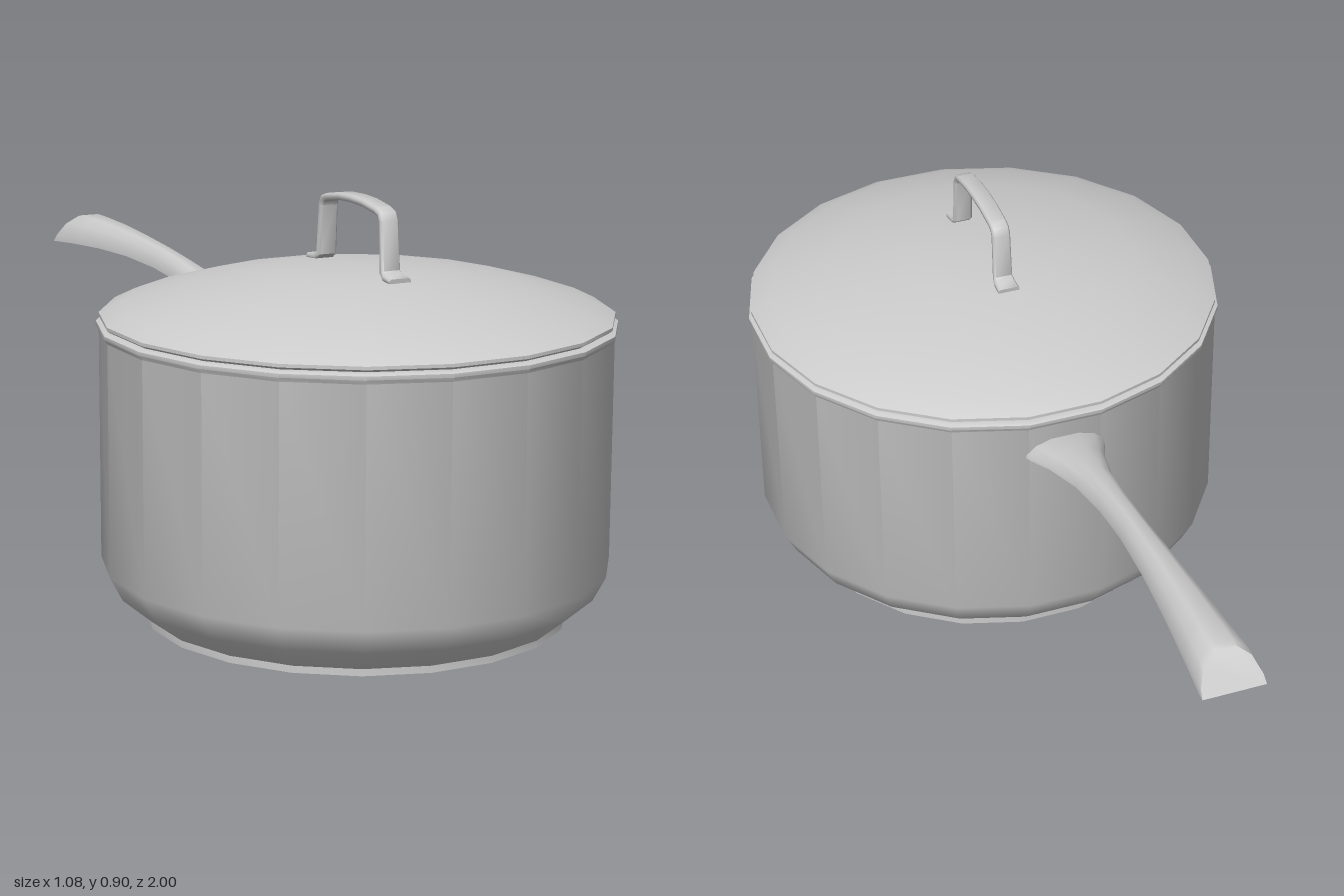
import * as THREE from 'three';
import { toCreasedNormals } from 'three/addons/utils/BufferGeometryUtils.js';

const SIDES = 20;
const POT_Z = 0.46;
const material = new THREE.MeshStandardMaterial({ color: 0xcccccc });

function makeMesh(name, geometry, crease = 0.6) {
  const mesh = new THREE.Mesh(toCreasedNormals(geometry, crease), material);
  mesh.name = name;
  return mesh;
}

// Turned part with flats facing the four axes; profile radii are measured to the flats
function turned(name, profile) {
  const k = 1 / Math.cos(Math.PI / SIDES);
  const points = profile.map(([r, y]) => new THREE.Vector2(r * k, y));
  const mesh = makeMesh(name, new THREE.LatheGeometry(points, SIDES, Math.PI / SIDES));
  mesh.position.z = POT_Z;
  return mesh;
}

// Skin over a row of closed rings, capped at both ends
function loft(rings) {
  const n = rings[0].length;
  const index = [];
  for (let i = 0; i < rings.length - 1; i++) {
    for (let j = 0; j < n; j++) {
      const a = i * n + j, b = i * n + (j + 1) % n;
      index.push(a, a + n, b, b, a + n, b + n);
    }
  }
  const last = (rings.length - 1) * n;
  for (let j = 1; j < n - 1; j++) {
    index.push(0, j, j + 1, last, last + j + 1, last + j);
  }
  const geometry = new THREE.BufferGeometry();
  geometry.setAttribute('position', new THREE.Float32BufferAttribute(rings.flat(2), 3));
  geometry.setIndex(index);
  return geometry;
}

// Long handle: flat underside, domed top, flared at both ends
function panHandle() {
  const section = [[-1, 0], [1, 0], [0.97, 0.25], [0.75, 0.72], [0.35, 1],
    [-0.35, 1], [-0.75, 0.72], [-0.97, 0.25]];
  // half width, bottom z, bottom y, top z, top y
  const stations = [
    [0.095, -0.06, 0.538, -0.06, 0.575],
    [0.088, -0.09, 0.543, -0.09, 0.582],
    [0.065, -0.15, 0.554, -0.15, 0.593],
    [0.043, -0.25, 0.57, -0.25, 0.61],
    [0.034, -0.37, 0.586, -0.37, 0.627],
    [0.033, -0.48, 0.595, -0.48, 0.639],
    [0.040, -0.62, 0.601, -0.62, 0.649],
    [0.050, -0.76, 0.599, -0.75, 0.655],
    [0.061, -0.89, 0.592, -0.86, 0.656],
    [0.069, -0.98, 0.585, -0.93, 0.655],
    [0.069, -1.0, 0.582, -0.945, 0.651],
  ];
  const rings = stations.map(([w, zb, yb, zt, yt]) =>
    section.map(([u, v]) => [u * w, yb + (yt - yb) * v, zb + (zt - zb) * v]));
  return makeMesh('panHandle', loft(rings), 0.75);
}

// Bent strap on the lid, with flat feet turned outward
function lidHandle() {
  // z from the lid centre, y, half width
  const half = [
    [0.18, 0.743, 0.025], [0.15, 0.747, 0.024], [0.137, 0.757, 0.022],
    [0.129, 0.862, 0.021], [0.122, 0.875, 0.021], [0.105, 0.881, 0.021], [0.05, 0.889, 0.021],
  ];
  const path = [...half, [0, 0.891, 0.021], ...half.slice().reverse().map(([z, y, w]) => [-z, y, w])];
  const t = 0.0075, c = 0.004;
  const direction = (a, b) => new THREE.Vector2(b[0] - a[0], b[1] - a[1]).normalize();
  const rings = path.map((p, i) => {
    const before = direction(path[Math.max(i - 1, 0)], path[Math.max(i, 1)]);
    const after = direction(path[Math.min(i, path.length - 2)], path[Math.min(i + 1, path.length - 1)]);
    const d = before.clone().add(after).normalize();
    const mitre = 1 / d.dot(before);
    const w = p[2];
    const section = [[-w + c, -t], [w - c, -t], [w, -t + c], [w, t - c],
      [w - c, t], [-w + c, t], [-w, t - c], [-w, -t + c]];
    return section.map(([x, v]) => [x, p[1] - d.x * v * mitre, p[0] + d.y * v * mitre]);
  });
  const mesh = makeMesh('lidHandle', loft(rings), 0.8);
  mesh.position.z = POT_Z;
  return mesh;
}

export function createModel() {
  const model = new THREE.Group();
  model.name = 'saucepan';

  // Pot with base step, rounded shoulder, rolled rim and inner wall
  model.add(turned('pot', [
    [0, 0], [0.445, 0], [0.445, 0.015], [0.508, 0.068], [0.535, 0.12], [0.535, 0.615],
    [0.541, 0.624], [0.541, 0.632], [0.536, 0.635], [0.515, 0.635],
    [0.515, 0.125], [0.49, 0.08], [0.43, 0.03], [0, 0.03],
  ]));

  // Domed lid
  model.add(turned('lid', [
    [0, 0.638], [0.528, 0.638], [0.535, 0.643], [0.535, 0.65], [0.488, 0.673],
    [0.35, 0.711], [0.18, 0.741], [0, 0.75],
  ]));

  model.add(lidHandle(), panHandle());
  return model;
}
